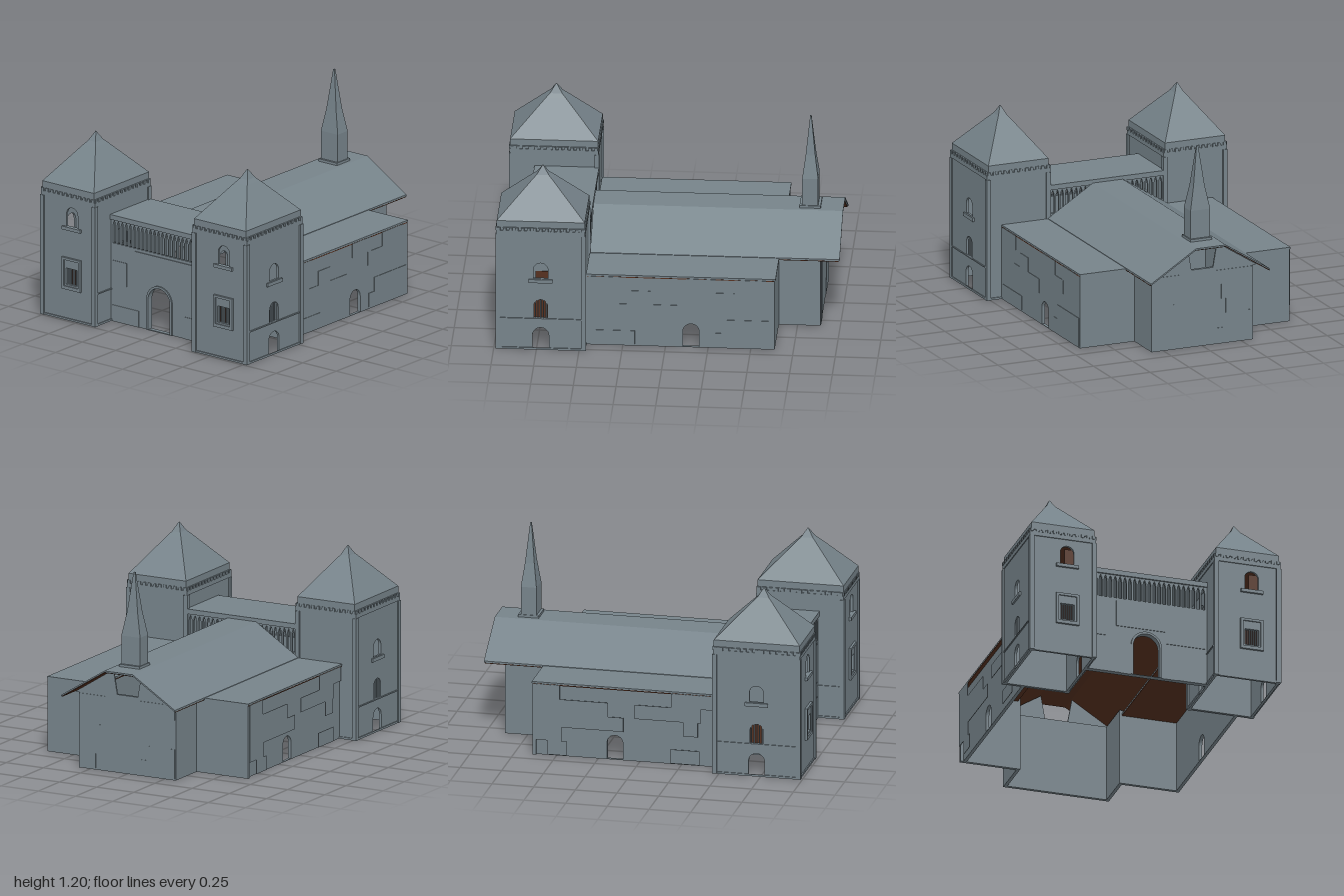
import * as THREE from 'three';

const stone = new THREE.MeshStandardMaterial({ color: 0x76838a, side: THREE.DoubleSide });
stone.name = 'greyStone';
const wood = new THREE.MeshStandardMaterial({ color: 0x55301f, side: THREE.DoubleSide });
wood.name = 'darkBrownInterior';

function add(parent, name, geo, mat = stone, x = 0, y = 0, z = 0, ry = 0) {
  const m = new THREE.Mesh(geo, mat);
  m.name = name;
  m.position.set(x, y, z);
  m.rotation.y = ry;
  parent.add(m);
  return m;
}

// Box given by its limits
function box(parent, name, x0, x1, y0, y1, z0, z1, mat = stone) {
  return add(parent, name, new THREE.BoxGeometry(x1 - x0, y1 - y0, z1 - z0), mat,
    (x0 + x1) / 2, (y0 + y1) / 2, (z0 + z1) / 2);
}

// Round-headed opening, full height h, centred on x
function arch(T, x, y, w, h) {
  const r = w / 2, s = new T();
  s.moveTo(x - r, y);
  s.lineTo(x + r, y);
  s.lineTo(x + r, y + h - r);
  s.absarc(x, y + h - r, r, 0, Math.PI, false);
  s.lineTo(x - r, y);
  return s;
}

function poly(pts, T = THREE.Shape) {
  return new T(pts.map(p => new THREE.Vector2(p[0], p[1])));
}

const rect = (x0, x1, y0, y1, T) => poly([[x0, y0], [x1, y0], [x1, y1], [x0, y1]], T);

// Flat panel with holes, extruded from z = 0 to z = t
function panel(shape, holes, t) {
  shape.holes.push(...holes);
  return new THREE.ExtrudeGeometry(shape, { depth: t, bevelEnabled: false, curveSegments: 8 });
}

// Rectangular sections [y, half width, half depth] joined with flat faces
function loft(sections) {
  const pos = [];
  const ring = ([y, w, d]) => [[w, y, d], [w, y, -d], [-w, y, -d], [-w, y, d]];
  for (let i = 0; i < sections.length - 1; i++) {
    const a = ring(sections[i]), b = ring(sections[i + 1]);
    for (let k = 0; k < 4; k++) {
      const n = (k + 1) % 4;
      pos.push(...a[k], ...a[n], ...b[n], ...a[k], ...b[n], ...b[k]);
    }
  }
  const g = new THREE.BufferGeometry();
  g.setAttribute('position', new THREE.Float32BufferAttribute(pos, 3));
  g.computeVertexNormals();
  return g;
}

let seed = 7;
const rnd = () => (seed = (seed * 16807) % 2147483647) / 2147483647;

// Slightly raised blocks scattered over a wall, in the wall's own plane
function masonry(parent, x0, x1, y0, y1, z, x, zPos, ry, blocked) {
  const g = new THREE.Group();
  g.name = 'raisedStones';
  g.position.set(x, 0, zPos);
  g.rotation.y = ry;
  parent.add(g);
  const rows = 5, h = (y1 - y0) / rows;
  for (let r = 0; r < rows; r++) {
    for (let u = x0; u < x1 - 0.05;) {
      const w = Math.min(0.08 + rnd() * 0.12, x1 - u), y = y0 + r * h;
      const clash = blocked && u < blocked[1] && u + w > blocked[0] && y < blocked[2];
      if (rnd() < 0.45 && !clash) box(g, 'stoneBlock', u, u + w, y, y + h, z, z + 0.003);
      u += w;
    }
  }
}

function tower(name, x) {
  const g = new THREE.Group();
  g.name = name;
  g.position.set(x, 0, 0.725);
  const W = 0.198, D = 0.255, H = 0.78, t = 0.015, c = 0.027;

  // Front and back walls
  add(g, 'frontWall', panel(rect(-W, W, 0, H), [
    rect(c - 0.042, c + 0.042, 0.22, 0.32, THREE.Path),
    arch(THREE.Path, c, 0.575, 0.084, 0.12)], t), stone, 0, 0, D - t);
  box(g, 'backWall', -W, W, 0, H, -D, -D + t);

  // Side walls with a door and two windows
  for (const s of [-1, 1]) {
    add(g, 'sideWall', panel(rect(-D, D, 0, H), [
      arch(THREE.Path, 0, 0.003, 0.095, 0.137),
      arch(THREE.Path, 0, 0.2, 0.08, 0.12),
      arch(THREE.Path, 0, 0.455, 0.085, 0.1)], t), stone, s * W, 0, 0, s * Math.PI / 2)
      .translateZ(-t);
    const a = Math.min(s * (W - 0.02), s * (W - 0.024)), n = Math.max(s * (W - 0.02), s * (W - 0.024));
    box(g, 'sideWindowInterior', a, n, 0.19, 0.33, -0.055, 0.055, wood);
    for (let i = -2; i <= 2; i++)
      box(g, 'sideWindowBar', s * (W - 0.01) - 0.004, s * (W - 0.01) + 0.004, 0.2, 0.315, i * 0.016 - 0.003, i * 0.016 + 0.003);
    box(g, 'sideSill', s * W - 0.01, s * W + 0.01, 0.43, 0.452, -0.07, 0.07);
    box(g, 'stringCourse', s * W - 0.006, s * W + 0.006, 0.193, 0.2, -D, D);
  }

  // Lower window: stepped frame, bars and dark room behind
  add(g, 'windowFrame', panel(rect(c - 0.07, c + 0.07, 0.19, 0.385),
    [rect(c - 0.054, c + 0.054, 0.21, 0.37, THREE.Path)], 0.014), stone, 0, 0, D);
  add(g, 'windowInnerFrame', panel(rect(c - 0.054, c + 0.054, 0.21, 0.37),
    [rect(c - 0.042, c + 0.042, 0.22, 0.32, THREE.Path)], 0.006), stone, 0, 0, D);
  box(g, 'windowInterior', c - 0.06, c + 0.06, 0.2, 0.34, D - 0.035, D - 0.03, wood);
  for (let i = -3; i <= 3; i++)
    box(g, 'windowBar', c + i * 0.0125 - 0.003, c + i * 0.0125 + 0.003, 0.22, 0.32, D - 0.012, D - 0.006);

  // Upper window: sill and half-open dark interior
  box(g, 'upperSill', c - 0.068, c + 0.068, 0.555, 0.575, D - 0.005, D + 0.014);
  box(g, 'upperInterior', c, c + 0.06, 0.56, 0.7, D - 0.06, D - 0.055, wood);

  // Corner strips, plinth and frieze band
  for (const sx of [-1, 1]) for (const sz of [-1, 1])
    box(g, 'cornerStrip', sx * 0.192 - 0.014, sx * 0.192 + 0.014, 0, 0.735, sz * 0.251 - 0.014, sz * 0.251 + 0.014);
  add(g, 'plinth', loft([[0, 0.204, 0.262], [0.012, 0.204, 0.262], [0.012, W, D]]));
  add(g, 'friezeBand', loft([[0.735, W, D], [0.735, 0.203, 0.261], [0.762, 0.203, 0.261], [0.762, W, D]]));

  // Small battlements round the top
  const teeth = (half, n, place) => {
    for (let i = 0; i < n; i++) place(-half + (i + 0.5) * 2 * half / n, half / n * 0.55);
  };
  for (const s of [-1, 1]) {
    teeth(0.206, 12, (u, w) => box(g, 'battlement', u - w, u + w, 0.76, H, s * 0.258 - 0.006, s * 0.258 + 0.006));
    teeth(0.264, 15, (u, w) => box(g, 'battlement', s * 0.2 - 0.006, s * 0.2 + 0.006, 0.76, H, u - w, u + w));
  }

  // Pyramid roof with steeper cap
  add(g, 'towerRoof', loft([[0.775, W, D], [0.775, 0.193, 0.258], [0.82, 0.193, 0.258], [1.022, 0.046, 0.06],
    [1.045, 0.028, 0.036], [1.09, 0.006, 0.007], [1.1, 0, 0]]));
  box(g, 'towerCeiling', -0.18, 0.18, 0.765, 0.77, -0.24, 0.24, wood);
  return g;
}

export function createModel() {
  const castle = new THREE.Group();
  castle.name = 'castle';
  castle.add(tower('rightTower', -0.567), tower('leftTower', 0.567));

  // Gatehouse wall with arched door
  const gate = new THREE.Group();
  gate.name = 'gatehouse';
  castle.add(gate);
  add(gate, 'gateWall', panel(rect(-0.37, 0.37, 0, 0.475), [arch(THREE.Path, -0.005, 0.003, 0.162, 0.267)], 0.03),
    stone, 0, 0, 0.8);
  add(gate, 'doorSurround', panel(arch(THREE.Shape, -0.005, 0, 0.19, 0.284),
    [arch(THREE.Path, -0.005, 0.001, 0.162, 0.269)], 0.008), stone, 0, 0, 0.83);
  for (const [x0, x1, y0, y1] of [[-0.36, -0.16, 0, 0.1], [0.18, 0.36, 0, 0.135], [-0.36, -0.25, 0.23, 0.375],
    [-0.19, 0.36, 0.3, 0.463], [0.11, 0.36, 0.225, 0.3]])
    box(gate, 'gateStone', x0, x1, y0, y1, 0.825, 0.834);

  // Pointed arcades carrying the gallery roof
  const arcade = () => {
    const n = 24, step = 0.72 / n, holes = [];
    for (let i = 0; i < n; i++) {
      const u = -0.36 + (i + 0.5) * step, r = step * 0.33;
      holes.push(poly([[u - r, 0.48], [u + r, 0.48], [u + r, 0.585], [u + r * 0.6, 0.605], [u, 0.62],
        [u - r * 0.6, 0.605], [u - r, 0.585]], THREE.Path));
    }
    return panel(rect(-0.37, 0.37, 0.455, 0.64), holes, 0.015);
  };
  add(gate, 'frontArcade', arcade(), stone, 0, 0, 0.815);
  add(gate, 'backArcade', arcade(), stone, 0, 0, 0.47);
  box(gate, 'galleryRoof', -0.37, 0.37, 0.625, 0.655, 0.462, 0.84);

  // Hall: wings and narrower rear bay
  const hall = new THREE.Group();
  hall.name = 'hall';
  castle.add(hall);
  for (const s of [-1, 1]) {
    const q = s * Math.PI / 2, d = s > 0 ? 0 : 1;
    add(hall, 'wingSideWall', panel(rect(-0.47, 0.64, 0, 0.445),
      [arch(THREE.Path, s * 0.15 + (d ? 0.3 : 0), 0.003, 0.095, 0.147)], 0.02), stone, s * 0.655, 0, 0, Math.PI / 2);
    masonry(hall, s > 0 ? -0.45 : -0.63, s > 0 ? 0.63 : 0.45, 0.01, 0.44, 0, s * 0.675, 0, q,
      s > 0 ? [0.09, 0.21, 0.16] : [-0.21, -0.09, 0.16]);
    box(hall, 'wingBackWall', Math.min(s * 0.31, s * 0.672), Math.max(s * 0.31, s * 0.672), 0, 0.445, -0.64, -0.62);
    box(hall, 'rearBaySideWall', s * 0.315 - 0.01, s * 0.315 + 0.01, 0, 0.47, -0.885, -0.62);
    const a = Math.min(s * 0.32, s * 0.676), b = Math.max(s * 0.32, s * 0.676);
    box(hall, 'wingRoof', a, b, 0.442, 0.452, -0.645, 0.465);
    box(hall, 'wingCeiling', a, b, 0.436, 0.441, -0.635, 0.46, wood);
  }
  box(hall, 'rearWall', -0.325, 0.325, 0, 0.47, -0.885, -0.865);
  masonry(hall, -0.32, 0.32, 0.01, 0.45, 0, 0, -0.886, Math.PI);

  // Flat-ridged roof running past the rear wall, lined below
  const slope = o => [[-0.383, 0.455 - o], [-0.1, 0.635 - o], [0.092, 0.635 - o], [0.38, 0.455 - o]];
  const roof = (o, t) => poly([...slope(o), ...slope(o + t).reverse()]);
  add(hall, 'hallRoof', panel(roof(0, 0.01), [], 1.462), stone, 0, 0, -1);
  add(hall, 'roofLining', panel(roof(0.0105, 0.004), [], 1.45), wood, 0, 0, -0.992);

  // Gable halves leaving a central opening
  const gable = s => panel(poly([[s * 0.35, 0.455], [s * 0.095, 0.617], [s * 0.07, 0.475], [s * 0.07, 0.455]]), [], 0.01);
  for (const s of [-1, 1]) {
    add(hall, 'rearGable', gable(s), stone, 0, 0, -0.885);
    add(hall, 'frontGable', gable(s), s < 0 ? wood : stone, 0, 0, 0.445);
  }

  // Spire on the ridge
  const spire = new THREE.Group();
  spire.name = 'spire';
  spire.position.z = -0.805;
  castle.add(spire);
  box(spire, 'spireBase', -0.07, 0.066, 0.625, 0.65, -0.062, 0.062);
  add(spire, 'spireShaft', loft([[0.65, 0.063, 0.047], [0.82, 0.063, 0.047], [0.96, 0.036, 0.028],
    [1.2, 0.005, 0.004], [1.2, 0, 0]]), stone, -0.003);
  return castle;
}
